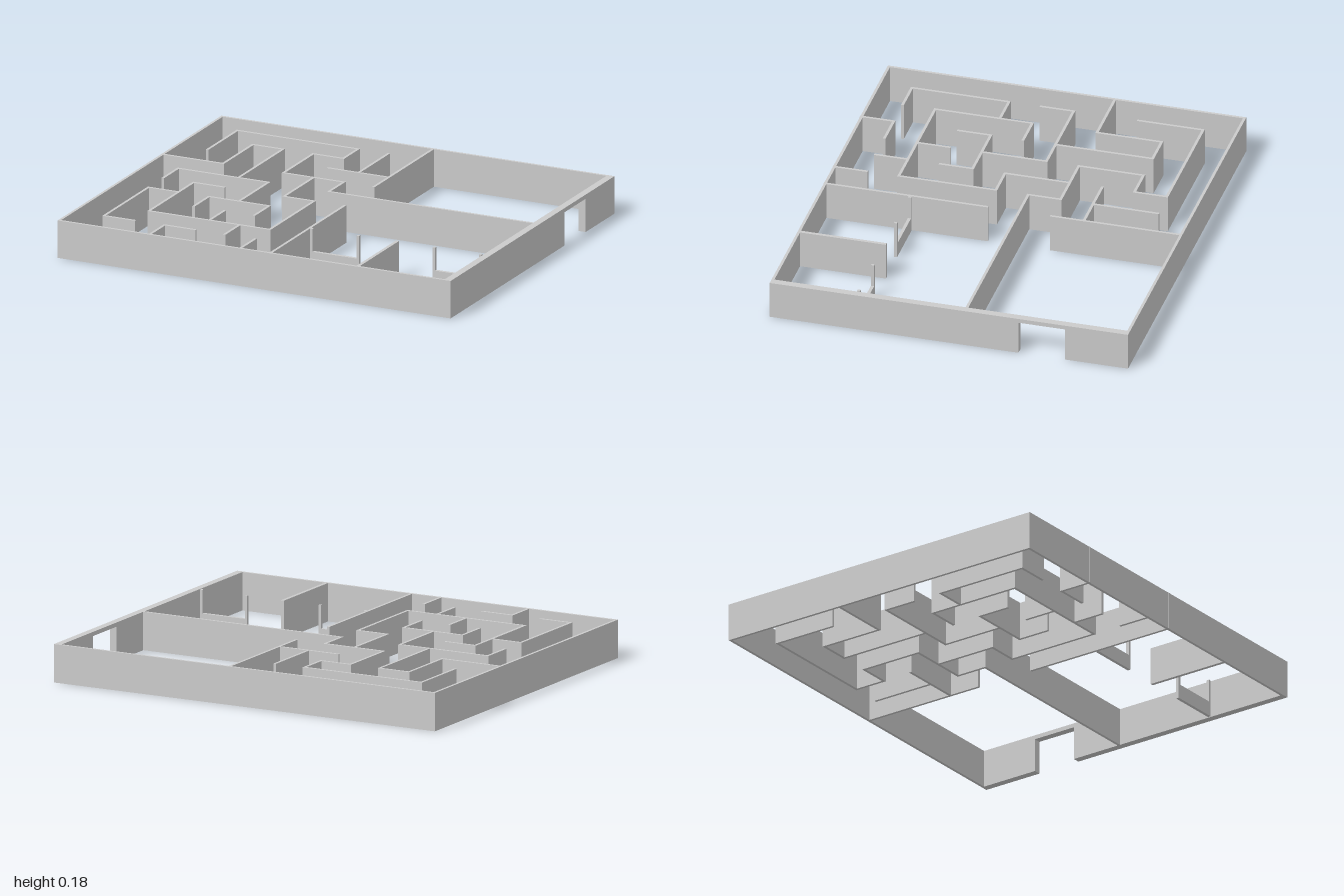
import * as THREE from 'three';

const H = 0.18;     // wall height
const T = 0.013;    // wall thickness
const STEP = 0.1535;
const gx = i => -0.9935 + i * STEP;
const gz = j => -0.8435 + j * STEP;

export function createModel() {
  const model = new THREE.Group();
  const material = new THREE.MeshStandardMaterial({ color: 0xcccccc, flatShading: true });

  // Box given by its extents
  function block(name, x0, x1, z0, z1, y0 = 0, y1 = H, parent = model) {
    const mesh = new THREE.Mesh(new THREE.BoxGeometry(x1 - x0, y1 - y0, z1 - z0), material);
    mesh.position.set((x0 + x1) / 2, (y0 + y1) / 2, (z0 + z1) / 2);
    mesh.name = name;
    parent.add(mesh);
  }

  // Outer walls
  block('backWall', -1, 1, -0.85, -0.85 + T);
  block('frontWall', -1, 1, 0.85 - T, 0.85);
  block('rightSideWall', -1, -1 + T, -0.85, 0.85);

  // Thick side wall with a doorway and lintel
  const doorWall = new THREE.Group();
  doorWall.name = 'doorwayWall';
  model.add(doorWall);
  block('doorwayBackPart', 0.965, 1, -0.85, -0.55, 0, H, doorWall);
  block('doorwayFrontPart', 0.965, 1, -0.33, 0.85, 0, H, doorWall);
  block('doorwayLintel', 0.965, 1, -0.55, -0.33, 0.16, H, doorWall);

  // Maze walls along x: [row, first column, last column]
  const maze = new THREE.Group();
  maze.name = 'mazeWalls';
  model.add(maze);
  const rows = [
    [1, 1, 5], [2, 2, 3], [2, 4, 5], [3, 5, 7], [4, 0, 2], [4, 4, 6], [5, 1, 4],
    [6, 2, 3], [6, 5, 6], [7, 1, 2], [7, 3, 5], [9, 2, 6], [10, 1, 2], [10, 3, 4],
  ];
  for (const [j, a, b] of rows) {
    block('mazeWallAcross', gx(a) - T / 2, gx(b) + T / 2, gz(j) - T / 2, gz(j) + T / 2, 0, H, maze);
  }

  // Maze walls along z: [column, first row, last row]
  const columns = [
    [1, 1, 3], [1, 5, 6], [1, 7, 10], [2, 2, 4], [2, 6, 9], [3, 2, 5], [3, 7, 8], [3, 10, 11],
    [4, 2, 4], [4, 5, 7], [4, 8, 9], [5, 1, 2], [5, 4, 6], [5, 7, 8], [5, 9, 10],
    [6, 1, 3], [6, 4, 5], [6, 6, 9], [6, 10, 11], [7, 0, 4], [7, 6, 11],
  ];
  for (const [i, a, b] of columns) {
    block('mazeWallAlong', gx(i) - T / 2, gx(i) + T / 2, gz(a) - T / 2, gz(b) + T / 2, 0, H, maze);
  }

  // Room walls
  block('roomDivider', gx(6) - T / 2, 0.965, gz(5) - T / 2, gz(5) + T / 2);
  block('roomPartition', 0.516, 0.532, 0.43, 0.85 - T);

  // Low counters with a full-height post at each end
  for (const [x0, x1] of [[0.088, 0.336], [0.711, 0.958]]) {
    const counter = new THREE.Group();
    counter.name = 'counter';
    model.add(counter);
    block('counterWall', x0, x1, 0.432, 0.447, 0, 0.07, counter);
    block('counterPost', x0, x0 + 0.012, 0.432, 0.447, 0.07, H, counter);
    block('counterPost', x1 - 0.012, x1, 0.432, 0.447, 0.07, H, counter);
  }
  return model;
}
